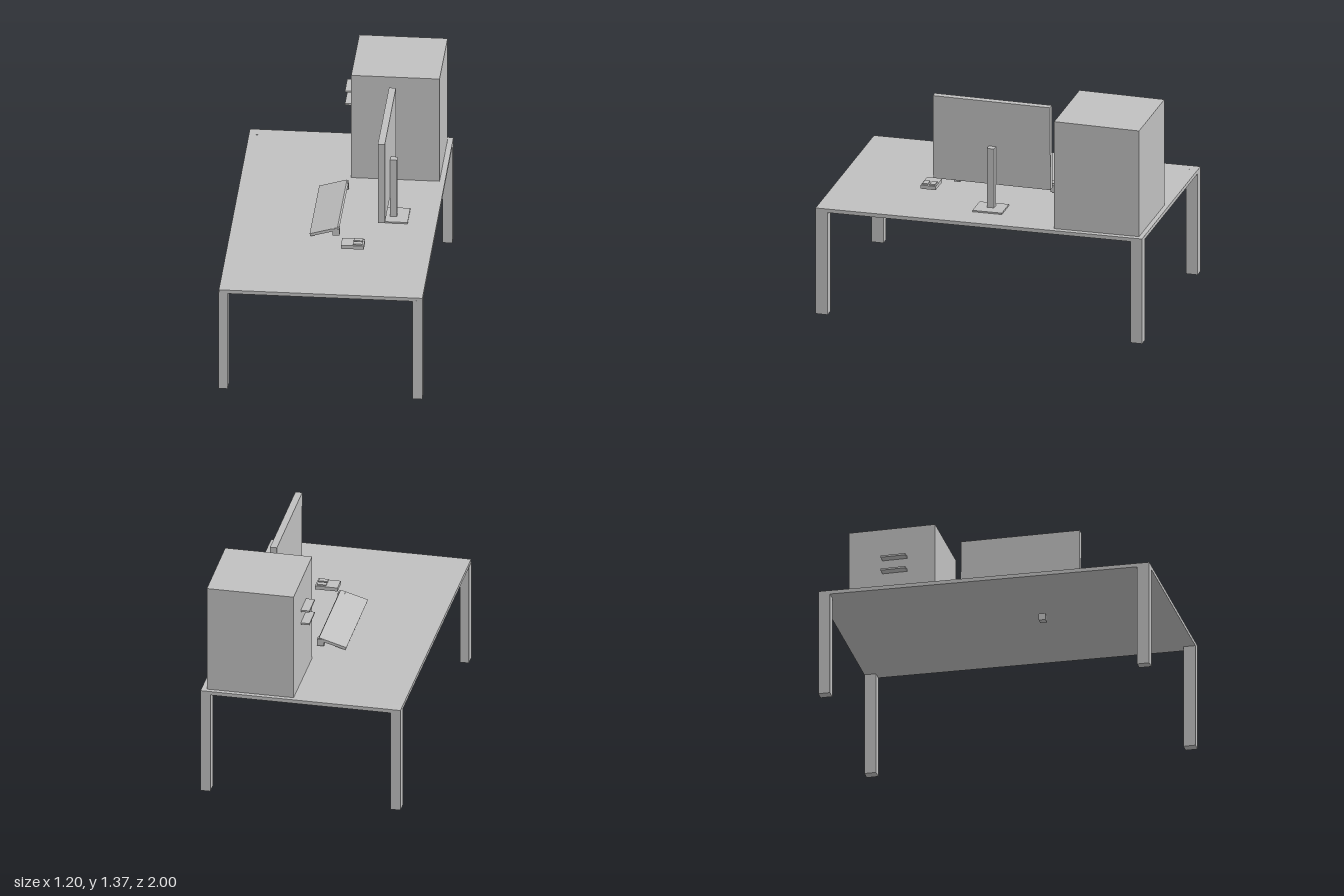
import * as THREE from 'three';

export function createModel() {
  const group = new THREE.Group();
  const grey = new THREE.MeshStandardMaterial({ color: 0xc0c0c0 });
  grey.name = 'plain grey';

  // box given by its [min, max] range on each axis
  function box(name, [x0, x1], [y0, y1], [z0, z1], parent = group) {
    const mesh = new THREE.Mesh(new THREE.BoxGeometry(x1 - x0, y1 - y0, z1 - z0), grey);
    mesh.position.set((x0 + x1) / 2, (y0 + y1) / 2, (z0 + z1) / 2);
    mesh.name = name;
    parent.add(mesh);
    return mesh;
  }

  // desk top, rising slightly towards the back
  const top = box('deskTop', [-0.6, 0.6], [0.66, 0.683], [-1, 1]);
  top.rotation.x = 0.0155;

  // legs
  box('frontLeftLeg', [0.543, 0.6], [0, 0.65], [0.927, 1]);
  box('frontRightLeg', [-0.602, -0.548], [0.015, 0.65], [0.927, 1]);
  for (const [name, s] of [['backLeftLeg', 1], ['backRightLeg', -1]]) {
    const x = [0.541 * s, 0.6 * s].sort((a, b) => a - b);
    box(name, x, [0.036, 0.698], [-1, -0.93]);
  }

  // computer case with two open drive trays
  const computer = new THREE.Group();
  computer.name = 'computer';
  group.add(computer);
  box('case', [0.047, 0.568], [0.69, 1.366], [-0.972, -0.452], computer);
  for (const y of [1.08, 1.164]) {
    box('driveTray', [-0.005, 0.06], [y, y + 0.011], [-0.77, -0.62], computer);
  }

  // monitor: screen, post and foot
  const monitor = new THREE.Group();
  monitor.name = 'monitor';
  group.add(monitor);
  const screen = box('screen', [0.279, 0.32], [0.825, 1.345], [-0.354, 0.364], monitor);
  screen.rotation.x = 0.006;
  box('post', [0.319, 0.361], [0.69, 1.064], [-0.022, 0.022], monitor);
  const foot = box('foot', [0.281, 0.429], [0.682, 0.692], [-0.09, 0.09], monitor);
  foot.rotation.x = 0.0155;

  // keyboard: sloping wedge plate on two small feet
  const keyboard = new THREE.Group();
  keyboard.name = 'keyboard';
  group.add(keyboard);
  const section = new THREE.Shape();
  [[-0.122, 0.688], [0.045, 0.736], [0.036, 0.752], [-0.128, 0.704]]
    .forEach(([x, y], i) => (i ? section.lineTo(x, y) : section.moveTo(x, y)));
  const plate = new THREE.Mesh(
    new THREE.ExtrudeGeometry(section, { depth: 0.615, bevelEnabled: false }), grey);
  plate.position.z = -0.305;
  plate.name = 'keyPlate';
  keyboard.add(plate);
  for (const z of [-0.31, 0.279]) {
    box('keyboardFoot', [0.006, 0.048], [0.702, 0.744], [z, z + 0.036], keyboard);
  }

  // mouse with two buttons
  const mouse = new THREE.Group();
  mouse.name = 'mouse';
  group.add(mouse);
  box('mouseBody', [0.071, 0.206], [0.699, 0.722], [0.382, 0.474], mouse);
  for (const z of [0.39, 0.434]) {
    box('mouseButton', [0.142, 0.196], [0.72, 0.73], [z, z + 0.032], mouse);
  }

  // small cube beneath the desk
  box('underDeskCube', [-0.158, -0.116], [0.578, 0.619], [0.224, 0.264]);

  return group;
}
